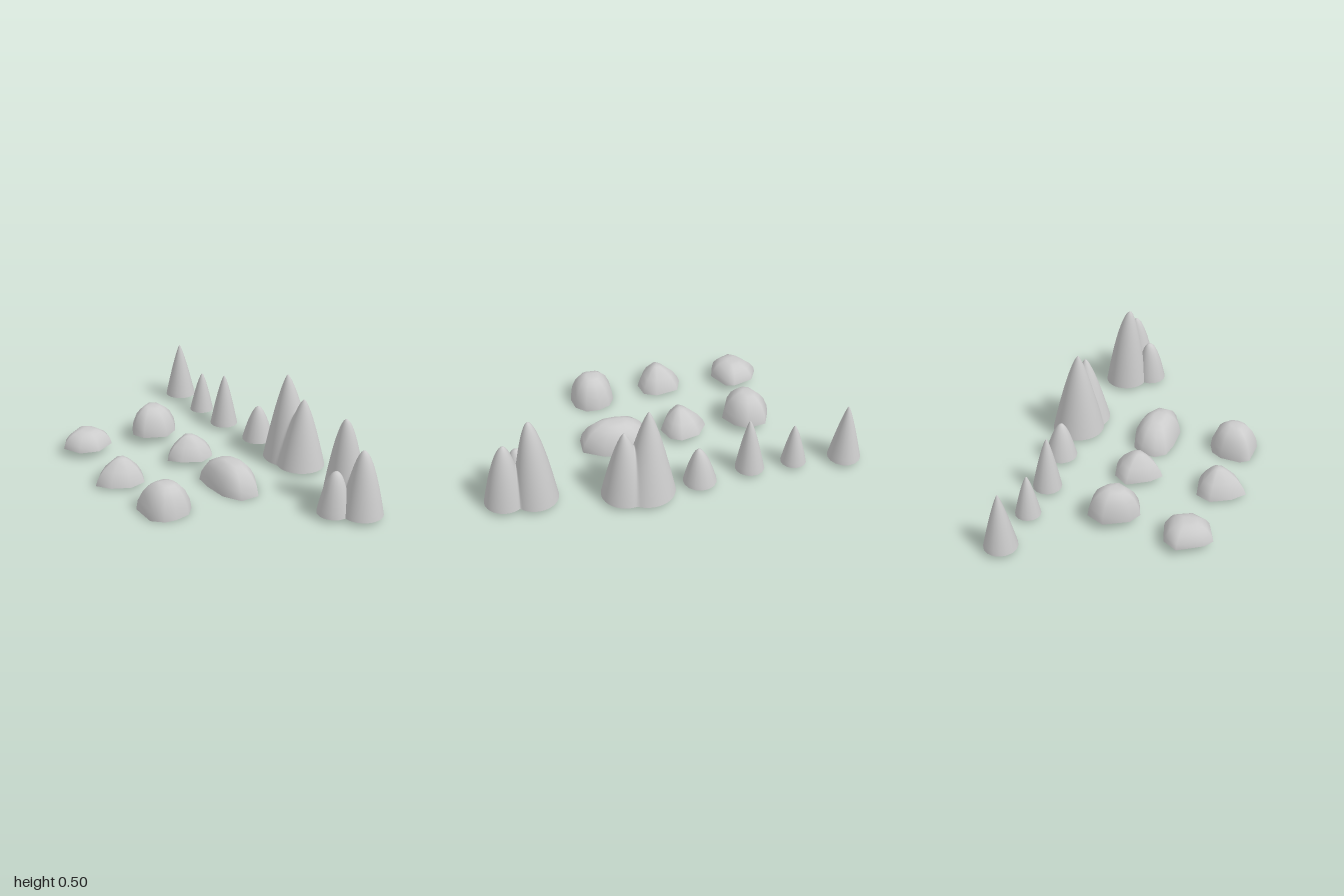
import * as THREE from 'three';
import { mergeVertices } from 'three/addons/utils/BufferGeometryUtils.js';

const material = new THREE.MeshStandardMaterial({ color: 0xcccccc, side: THREE.DoubleSide });

// Smooth cap made of rings: point(i, j) gives ring j (0 = middle), step i around
function capMesh(name, around, rings, point) {
  const pos = [], index = [];
  for (let j = 0; j <= rings; j++)
    for (let i = 0; i < around; i++) pos.push(...point(i, j));
  for (let j = 0; j < rings; j++)
    for (let i = 0; i < around; i++) {
      const k = (i + 1) % around;
      const a = j * around + i, b = j * around + k, c = a + around, d = b + around;
      if (j > 0) index.push(a, b, c);
      index.push(b, d, c);
    }
  let g = new THREE.BufferGeometry();
  g.setAttribute('position', new THREE.Float32BufferAttribute(pos, 3));
  g.setIndex(index);
  g = mergeVertices(g, 1e-5);
  g.computeVertexNormals();
  const mesh = new THREE.Mesh(g, material);
  mesh.name = name;
  return mesh;
}

// Height of one leaning spire above (x, z); negative outside its base circle
function spireHeight(p, x, z) {
  const [ax, az, h, cx, cz, r, power] = p;
  const qx = x - ax, qz = z - az, ex = cx - ax, ez = cz - az;
  const qe = qx * ex + qz * ez, k = r * r - ex * ex - ez * ez;
  const s = (-qe + Math.sqrt(qe * qe + k * (qx * qx + qz * qz))) / k;
  return h * (1 - Math.pow(s, power));
}

// One or more spires melted together, open underneath
function stalagmite(name, spires, around, rings, base = 0.02) {
  const blend = 0.012;
  const height = (x, z) => {
    const hs = spires.map(p => spireHeight(p, x, z));
    const top = Math.max(...hs);
    return top + blend * Math.log(hs.reduce((t, h) => t + Math.exp((h - top) / blend), 0));
  };
  const mx = spires.reduce((t, p) => t + p[0], 0) / spires.length;
  const mz = spires.reduce((t, p) => t + p[1], 0) / spires.length;
  // distance from the middle to the foot in each direction
  const reach = [];
  for (let i = 0; i < around; i++) {
    const a = i / around * Math.PI * 2;
    let lo = 0, hi = 0.4;
    for (let n = 0; n < 24; n++) {
      const mid = (lo + hi) / 2;
      if (height(mx + Math.cos(a) * mid, mz + Math.sin(a) * mid) > 0) lo = mid; else hi = mid;
    }
    reach.push(lo);
  }
  return capMesh(name, around, rings, (i, j) => {
    const a = i / around * Math.PI * 2, d = reach[i] * j / rings;
    const x = mx + Math.cos(a) * d, z = mz + Math.sin(a) * d;
    return [x, base + Math.max(0, height(x, z)), z];
  });
}

// Boulder: a footprint shrinking towards its crown, open underneath
const FLAT = [[0, 1], [0.2, 1], [0.38, 0.97], [0.58, 0.84], [0.76, 0.67], [0.94, 0.33], [1, 0]];
const PEAKED = [[0, 1], [0.18, 0.96], [0.36, 0.87], [0.7, 0.57], [0.9, 0.27], [1, 0]];
function boulder(name, levels, base, top, crown, outline) {
  return capMesh(name, outline.length, levels.length - 1, (i, j) => {
    const [s, h] = levels[j], [x, z] = outline[i];
    return [crown[0] + (x - crown[0]) * s, base + (top - base) * h, crown[1] + (z - crown[1]) * s];
  });
}

export function createModel() {
  const model = new THREE.Group();

  // Row of single spires: apex x, apex z, height, base x, base z, radius, roundness
  [
    [0.395, -0.91, 0.32, 0.40, -0.91, 0.088, 1.25],
    [0.385, -0.63, 0.23, 0.385, -0.635, 0.068, 1.4],
    [0.385, -0.387, 0.30, 0.39, -0.395, 0.078, 1.35],
    [0.435, -0.107, 0.20, 0.44, -0.115, 0.088, 1.75],
  ].forEach((p, i) => model.add(stalagmite('singleStalagmite' + (i + 1), [p], 16, 14)));

  // Twin spire, and a twin with a small one leaning on its side
  model.add(stalagmite('twinStalagmite', [
    [0.443, 0.15, 0.48, 0.46, 0.163, 0.143, 1.35],
    [0.46, 0.282, 0.38, 0.455, 0.275, 0.13, 1.4],
  ], 80, 44));
  model.add(stalagmite('frontStalagmite', [
    [0.375, 0.74, 0.46, 0.398, 0.73, 0.117, 1.75],
    [0.39, 0.872, 0.34, 0.39, 0.885, 0.108, 1.8],
  ], 80, 44));
  model.add(stalagmite('sideStalagmite', [[0.28, 0.805, 0.225, 0.272, 0.805, 0.086, 2.2]], 16, 14));

  // Boulders, footprints running clockwise as seen from above
  model.add(boulder('backRightBoulder', FLAT, 0.04, 0.13, [-0.44, -0.51], [
    [-0.43, -0.65], [-0.35, -0.61], [-0.31, -0.50], [-0.32, -0.45],
    [-0.43, -0.39], [-0.53, -0.42], [-0.58, -0.52], [-0.55, -0.57]]));
  model.add(boulder('backMiddleBoulder', FLAT, 0.045, 0.193, [-0.04, -0.49], [
    [-0.02, -0.61], [0.08, -0.57], [0.10, -0.465], [0.06, -0.40],
    [-0.02, -0.35], [-0.14, -0.40], [-0.17, -0.47], [-0.14, -0.54]]));
  model.add(boulder('middleRightBoulder', PEAKED, 0.015, 0.148, [-0.455, -0.07], [
    [-0.455, -0.205], [-0.37, -0.175], [-0.34, -0.05], [-0.37, 0.02],
    [-0.46, 0.04], [-0.555, -0.005], [-0.61, -0.075], [-0.555, -0.145]]));
  model.add(boulder('middleBoulder', PEAKED, 0.03, 0.155, [-0.02, -0.11], [
    [0, -0.25], [0.085, -0.195], [0.115, -0.095], [0.085, -0.035],
    [0, 0], [-0.10, -0.05], [-0.155, -0.11], [-0.11, -0.175]]));
  model.add(boulder('frontRightBoulder', FLAT, 0, 0.158, [-0.415, 0.32], [
    [-0.49, 0.197], [-0.38, 0.197], [-0.32, 0.23], [-0.29, 0.29], [-0.29, 0.365],
    [-0.34, 0.42], [-0.42, 0.435], [-0.48, 0.425], [-0.535, 0.375], [-0.535, 0.23]]));
  model.add(boulder('longBoulder', FLAT, 0, 0.143, [0.015, 0.265], [
    [-0.04, 0.07], [0.04, 0.07], [0.10, 0.115], [0.137, 0.225], [0.13, 0.33],
    [0.07, 0.44], [-0.035, 0.44], [-0.09, 0.345], [-0.10, 0.21], [-0.09, 0.115]]));

  return model;
}
